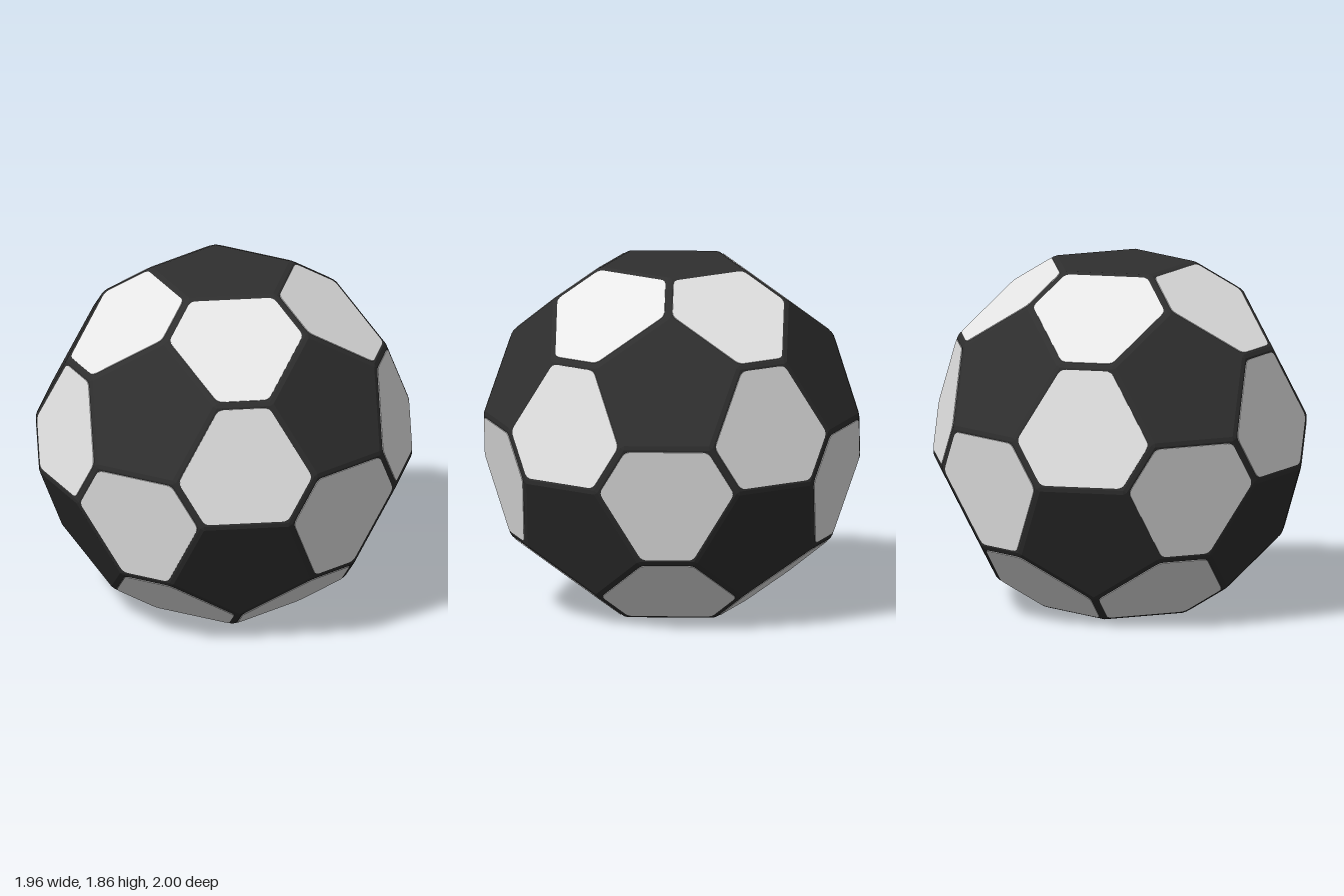
import * as THREE from 'three';
import { ConvexGeometry } from 'three/addons/geometries/ConvexGeometry.js';

const D = 0.932;      // centre to pentagon face
const R = 0.4;        // pentagon corner radius
const BEVEL = 0.012;  // softened ball edges
const SEAM = 0.022;   // dark margin around each white panel

// Twelve pentagon directions: two poles and two staggered rings of five
function pentagonAxes() {
  const s = 1 / Math.sqrt(5), c = 2 * s;
  const axes = [new THREE.Vector3(0, 1, 0), new THREE.Vector3(0, -1, 0)];
  for (let i = 0; i < 5; i++) {
    const a = (i * 2 * Math.PI) / 5, b = a + Math.PI / 5;
    axes.push(new THREE.Vector3(c * Math.cos(a), s, c * Math.sin(a)));
    axes.push(new THREE.Vector3(c * Math.cos(b), -s, c * Math.sin(b)));
  }
  return axes;
}

// Corner of pentagon a that points at neighbour b
function corner(a, b) {
  const t = b.clone().addScaledVector(a, -a.dot(b)).normalize();
  return a.clone().multiplyScalar(D).addScaledVector(t, R);
}

// Face frame (z outward) and its corners in that plane, counter-clockwise
function makeFace(normal, points) {
  const u = points[0].clone().addScaledVector(normal, -points[0].dot(normal)).normalize();
  const v = new THREE.Vector3().crossVectors(normal, u);
  const frame = new THREE.Matrix4().makeBasis(u, v, normal)
    .setPosition(normal.clone().multiplyScalar(points[0].dot(normal)));
  const flat = points.map((p) => new THREE.Vector2(p.dot(u), p.dot(v)));
  flat.sort((p, q) => Math.atan2(p.y, p.x) - Math.atan2(q.y, q.x));
  return { frame, flat };
}

// Move every side of a convex polygon inward by w
function inset(poly, w) {
  const n = poly.length;
  return poly.map((p, i) => {
    const e1 = poly[(i + n - 1) % n].clone().sub(p).normalize();
    const e2 = poly[(i + 1) % n].clone().sub(p).normalize();
    return p.clone().addScaledVector(e1.add(e2), w / Math.abs(e1.clone().sub(e2).cross(e2)));
  });
}

// Polygon outline with small rounded corners
function roundedShape(poly, r) {
  const shape = new THREE.Shape(), n = poly.length;
  poly.forEach((p, i) => {
    const toward = (q) => p.clone().add(q.clone().sub(p).setLength(r));
    const a = toward(poly[(i + n - 1) % n]), b = toward(poly[(i + 1) % n]);
    if (i === 0) shape.moveTo(a.x, a.y); else shape.lineTo(a.x, a.y);
    shape.quadraticCurveTo(p.x, p.y, b.x, b.y);
  });
  shape.closePath();
  return shape;
}

export function createModel() {
  const black = new THREE.MeshStandardMaterial({ color: 0x2f2f2f });
  black.name = 'charcoal';
  const white = new THREE.MeshStandardMaterial({ color: 0xe7e7e7 });
  white.name = 'white';

  const axes = pentagonAxes();
  const near = (a, b) => a !== b && a.dot(b) > 0.4;

  // Twelve pentagon faces
  const pentagons = axes.map((a) =>
    makeFace(a, axes.filter((b) => near(a, b)).map((b) => corner(a, b))));

  // Twenty hexagon faces, one between each three neighbouring pentagons
  const hexagons = [];
  axes.forEach((a, i) => axes.forEach((b, j) => axes.forEach((c, k) => {
    if (!(i < j && j < k && near(a, b) && near(b, c) && near(a, c))) return;
    const normal = a.clone().add(b).add(c).normalize();
    hexagons.push(makeFace(normal, [corner(a, b), corner(b, a), corner(b, c),
      corner(c, b), corner(c, a), corner(a, c)]));
  })));

  const ball = new THREE.Group();
  ball.name = 'ball';
  ball.position.y = D;

  // Dark solid with bevelled edges: pentagons and seams
  const hull = [];
  for (const { frame, flat } of [...pentagons, ...hexagons]) {
    for (const p of inset(flat, BEVEL)) hull.push(new THREE.Vector3(p.x, p.y, 0).applyMatrix4(frame));
  }
  const core = new THREE.Mesh(new ConvexGeometry(hull), black);
  core.name = 'pentagonsAndSeams';
  ball.add(core);

  // Thin white hexagon panels
  const panels = new THREE.Group();
  panels.name = 'hexagonPanels';
  for (const { frame, flat } of hexagons) {
    const geo = new THREE.ExtrudeGeometry(roundedShape(inset(flat, SEAM), 0.03),
      { depth: 0.006, bevelEnabled: false, curveSegments: 4 });
    geo.translate(0, 0, -0.002).applyMatrix4(frame);
    const panel = new THREE.Mesh(geo, white);
    panel.name = 'hexagonPanel';
    panels.add(panel);
  }
  ball.add(panels);

  const model = new THREE.Group();
  model.name = 'football';
  model.add(ball);
  return model;
}
